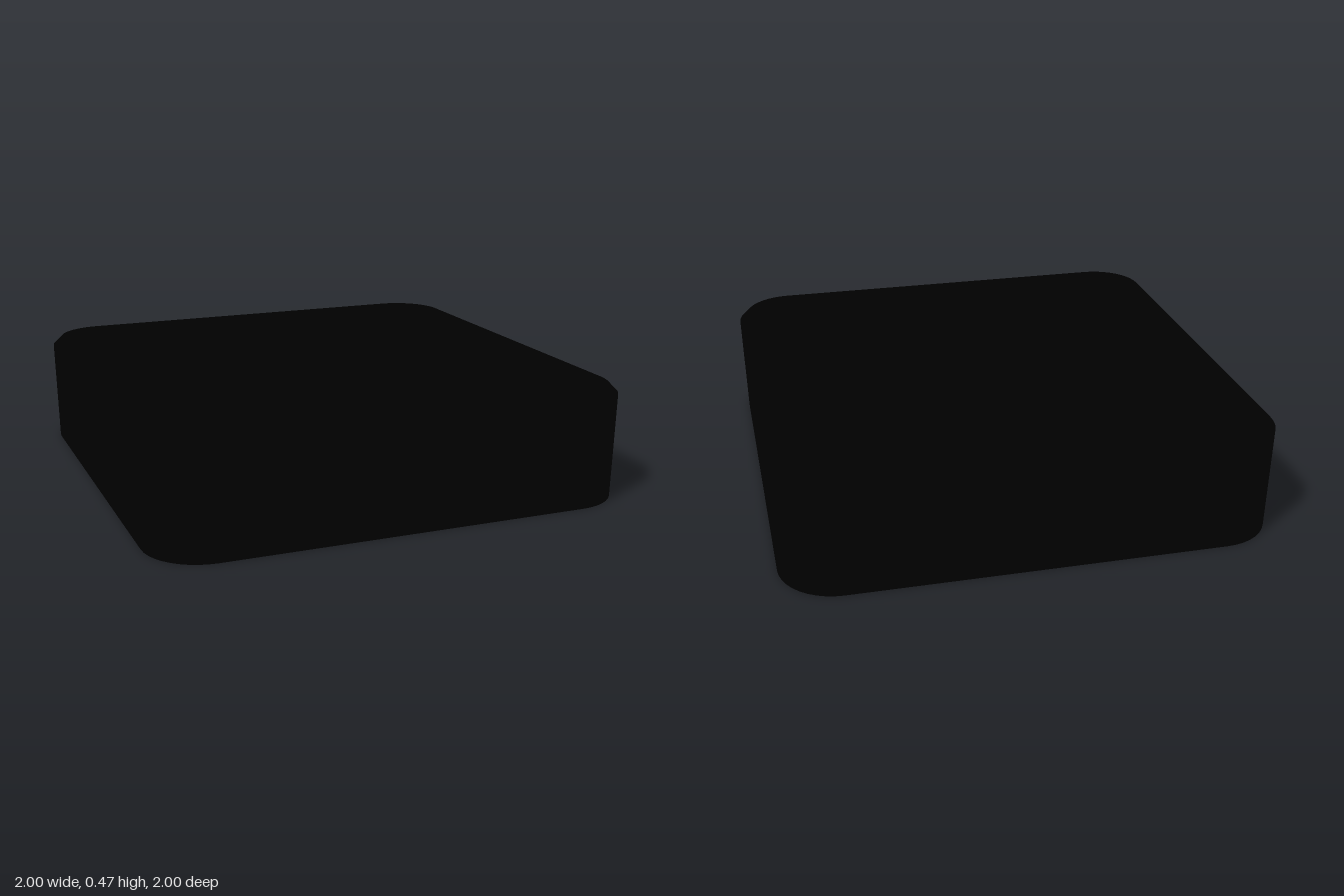
import * as THREE from 'three';
import { toCreasedNormals } from 'three/addons/utils/BufferGeometryUtils.js';

// Rounded-square outline: half width h, corner radius r, height y
function ring(h, r, y, steps) {
  const points = [];
  for (let corner = 0; corner < 4; corner++) {
    const mid = (corner + 0.5) * Math.PI / 2;
    const cx = Math.sign(Math.cos(mid)) * (h - r);
    const cz = Math.sign(Math.sin(mid)) * (h - r);
    for (let i = 0; i <= steps; i++) {
      const a = (corner + i / steps) * Math.PI / 2;
      points.push([cx + r * Math.cos(a), y, cz + r * Math.sin(a)]);
    }
  }
  return points;
}

// Join outlines from bottom to top and close both ends
function loft(rings) {
  const n = rings[0].length;
  const last = (rings.length - 1) * n;
  const positions = rings.flat(2);
  const index = [];
  for (let k = 0; k < rings.length - 1; k++) {
    for (let i = 0; i < n; i++) {
      const a = k * n + i;
      const b = k * n + (i + 1) % n;
      index.push(a, a + n, b, b, a + n, b + n);
    }
  }
  const bottom = positions.length / 3;
  positions.push(0, rings[0][0][1], 0, 0, rings[rings.length - 1][0][1], 0);
  for (let i = 0; i < n; i++) {
    const j = (i + 1) % n;
    index.push(bottom, i, j, bottom + 1, last + j, last + i);
  }
  const geometry = new THREE.BufferGeometry();
  geometry.setAttribute('position', new THREE.Float32BufferAttribute(positions, 3));
  geometry.setIndex(index);
  return toCreasedNormals(geometry, Math.PI / 6);
}

export function createModel() {
  const group = new THREE.Group();
  group.name = 'roundedSlab';

  // Slab flaring slightly upward, with a narrow chamfer around the top
  const steps = 10;
  const geometry = loft([
    ring(0.99, 0.23, 0, steps),
    ring(1, 0.24, 0.435, steps),
    ring(0.963, 0.205, 0.472, steps),
  ]);
  const slab = new THREE.Mesh(geometry, new THREE.MeshStandardMaterial({ color: 0x000000 }));
  slab.name = 'slab';
  group.add(slab);
  return group;
}
